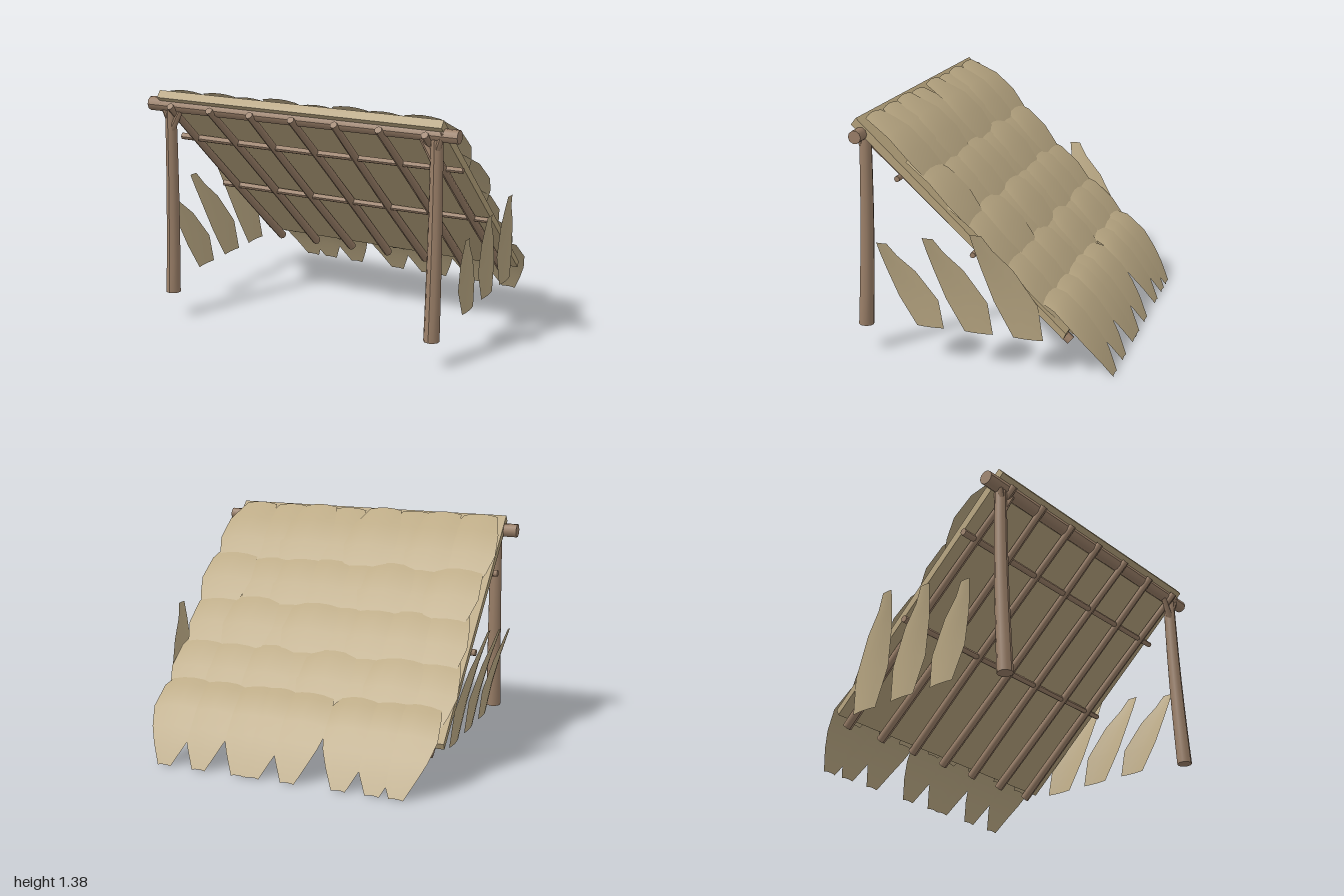
import * as THREE from 'three';

const wood = new THREE.MeshStandardMaterial({ color: 0x9a7f68 });
const leafMat = new THREE.MeshStandardMaterial({ color: 0xbcaa85, side: THREE.DoubleSide });
const thatchMat = new THREE.MeshStandardMaterial({ color: 0xb5a27c });

// Tapered round pole from a to b, bowed sideways in its middle
function pole(name, a, b, ra, rb, bow = [0, 0], sides = 10) {
  const A = new THREE.Vector3(...a), B = new THREE.Vector3(...b);
  const dir = B.clone().sub(A), len = dir.length();
  const g = new THREE.CylinderGeometry(rb, ra, len, sides, 6);
  const p = g.attributes.position;
  for (let i = 0; i < p.count; i++) {
    const k = Math.sin(Math.PI * (p.getY(i) / len + 0.5));
    p.setX(i, p.getX(i) + bow[0] * k);
    p.setZ(i, p.getZ(i) + bow[1] * k);
  }
  g.computeVertexNormals();
  const m = new THREE.Mesh(g, wood);
  m.name = name;
  m.position.copy(A).add(B).multiplyScalar(0.5);
  m.quaternion.setFromUnitVectors(new THREE.Vector3(0, 1, 0), dir.normalize());
  return m;
}

// Thin leaf: rows of points spanning each [left, right] edge pair, edges drooping by 'droop'
function leaf(name, stations, droop) {
  const pos = [], idx = [], n = 4;
  for (const [l, r] of stations) {
    const w = Math.hypot(l[0] - r[0], l[1] - r[1], l[2] - r[2]);
    for (let j = 0; j <= n; j++) {
      const u = j / n, d = (2 * u - 1) ** 2 * w / 0.33;
      for (let k = 0; k < 3; k++) pos.push(l[k] + (r[k] - l[k]) * u + droop[k] * d);
    }
  }
  for (let i = 0; i < stations.length - 1; i++) for (let j = 0; j < n; j++) {
    const a = i * (n + 1) + j, b = a + n + 1;
    idx.push(a, a + 1, b, a + 1, b + 1, b);
  }
  const g = new THREE.BufferGeometry();
  g.setAttribute('position', new THREE.Float32BufferAttribute(pos, 3));
  g.setIndex(idx);
  g.computeVertexNormals();
  const m = new THREE.Mesh(g, leafMat);
  m.name = name;
  return m;
}

// Roof leaf, base uphill and tip downhill: [dz, dy, half width]
const roofProfile = [
  [0, 0, 0.105], [-0.15, -0.085, 0.155], [-0.26, -0.19, 0.17],
  [-0.34, -0.285, 0.14], [-0.4, -0.36, 0.1], [-0.465, -0.46, 0.042],
];
function roofLeaf(x, z, y, skew, lift) {
  const st = roofProfile.map(([dz, dy, h]) => {
    const t = -dz / 0.465, cx = x + skew * t, yy = y + dy + lift * Math.sin(Math.PI * t);
    return [[cx + h, yy, z + dz], [cx - h, yy, z + dz]];
  });
  return leaf('roofLeaf', st, [0, -0.02, -0.01]);
}

// Upright side leaf: [height fraction, front z, back z], offsets from the middle of the base
const sideProfile = [
  [0, 0.085, -0.085], [0.34, 0.19, -0.06], [0.68, 0.25, 0.065],
  [0.86, 0.275, 0.17], [1, 0.29, 0.225],
];
function sideLeaf(side, z, height, spread) {
  const st = sideProfile.map(([t, f, b]) => {
    const x = side * (0.89 + spread * t ** 1.5), y = 0.2 + height * t, k = 0.62 + 0.38 * height / 0.61;
    return [[x, y, z + f * k], [x, y, z + b * k]];
  });
  return leaf('sideLeaf', st, [-side * 0.015, 0, 0]);
}

export function createModel() {
  const model = new THREE.Group();
  model.name = 'leanToShelter';

  // Posts, forked braces and ridge beam
  for (const s of [-1, 1]) {
    model.add(pole('post', [s * 0.845, 0.155, 0.692], [s * 0.84, 1.27, 0.655], 0.044, 0.034, [0, -0.008]));
    model.add(pole('forkBrace', [s * 0.835, 1.13, 0.665], [s * 0.715, 1.335, 0.672], 0.02, 0.012));
    model.add(pole('forkStub', [s * 0.84, 1.18, 0.665], [s * 0.885, 1.3, 0.685], 0.02, 0.012));
  }
  model.add(pole('ridgeBeam', [-0.97, 1.282, 0.66], [0.97, 1.282, 0.66], 0.041, 0.037));

  // Sloping rafters and cross purlins
  for (let i = 0; i < 7; i++) {
    const x = (i - 3) * 0.266;
    model.add(pole('rafter', [x - 0.006, 0.185, -0.5], [x, 1.287, 0.72], 0.027, 0.021, [i % 2 ? 0.008 : -0.008, 0], 8));
  }
  for (const [y, z] of [[1.05, 0.45], [0.66, 0.022]])
    model.add(pole('purlin', [-0.91, y, z], [0.905, y, z], 0.02, 0.016, [0.004, 0], 8));

  // Thatch backing slab, a thin side section extruded across the roof
  const section = new THREE.Shape([[-0.685, 1.368], [0.5, 0.262], [0.485, 0.228], [-0.715, 1.33]]
    .map(([x, y]) => new THREE.Vector2(x, y)));
  const slabGeo = new THREE.ExtrudeGeometry(section, { depth: 1.78, bevelEnabled: false });
  slabGeo.translate(0, 0, -0.89).rotateY(Math.PI / 2);
  const slab = new THREE.Mesh(slabGeo, thatchMat);
  slab.name = 'thatchBacking';
  model.add(slab);

  // Overlapping rows of roof leaves, from the ridge down to the eave
  const rows = [
    [-0.74, -0.51, -0.32, -0.12, 0.12, 0.32, 0.52, 0.75],
    [-0.72, -0.48, -0.3, -0.11, 0.11, 0.29, 0.49, 0.76],
    [-0.71, -0.5, -0.29, -0.1, 0.1, 0.28, 0.5, 0.75],
    [-0.73, -0.52, -0.31, -0.1, 0.08, 0.28, 0.53, 0.75],
    [-0.7, -0.56, -0.36, -0.05, 0.17, 0.26, 0.515, 0.74],
  ];
  rows.forEach((xs, r) => xs.forEach((x, i) => {
    const wobble = Math.sin(i * 2.7 + r * 1.9);
    const last = r === 4;
    model.add(roofLeaf(x, 0.65 - 0.231 * r, 1.38 - 0.23 * r + (last ? 0 : 0.006 * (wobble - 1)),
      last ? 0 : 0.02 * wobble, last ? 0.035 : 0.004));
  }));

  // Three side leaves at each end, growing toward the back
  for (const s of [-1, 1])
    for (const [z, h, w] of [[0.285, 0.5, 0.085], [0, 0.56, 0.1], [-0.285, 0.61, 0.11]])
      model.add(sideLeaf(s, z, h, w));

  return model;
}
